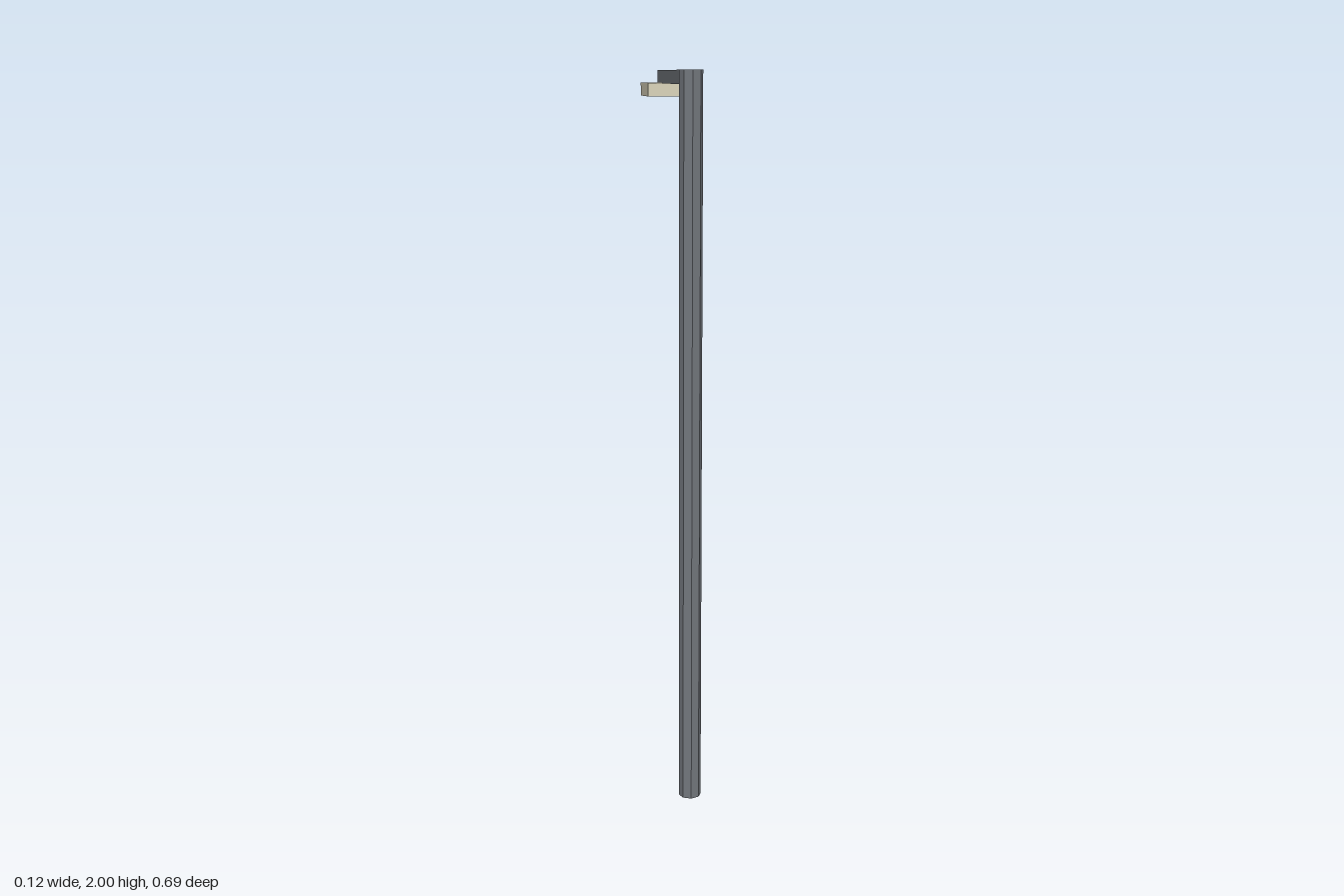
import * as THREE from 'three';

export function createModel() {
  const model = new THREE.Group();
  model.name = 'streetLamp';

  const metal = new THREE.MeshStandardMaterial({ color: 0x73777d, flatShading: true });
  const lampShell = new THREE.MeshStandardMaterial({ color: 0xdad4bb, flatShading: true });

  function addPart(name, geometry, material, y, z) {
    const mesh = new THREE.Mesh(geometry, material);
    mesh.name = name;
    mesh.position.set(0, y, z);
    model.add(mesh);
  }

  // Eight-sided upright pole
  addPart('pole', new THREE.CylinderGeometry(0.031, 0.031, 2, 8), metal, 1, 0.314);

  // Horizontal arm reaching back from the pole's centre, just below its cap
  addPart('arm', new THREE.BoxGeometry(0.039, 0.037, 0.58), metal, 1.981, 0.024);

  // Flat lamp head hung under the arm's end
  addPart('lampHead', new THREE.BoxGeometry(0.12, 0.038, 0.199), lampShell, 1.945, -0.246);

  return model;
}
